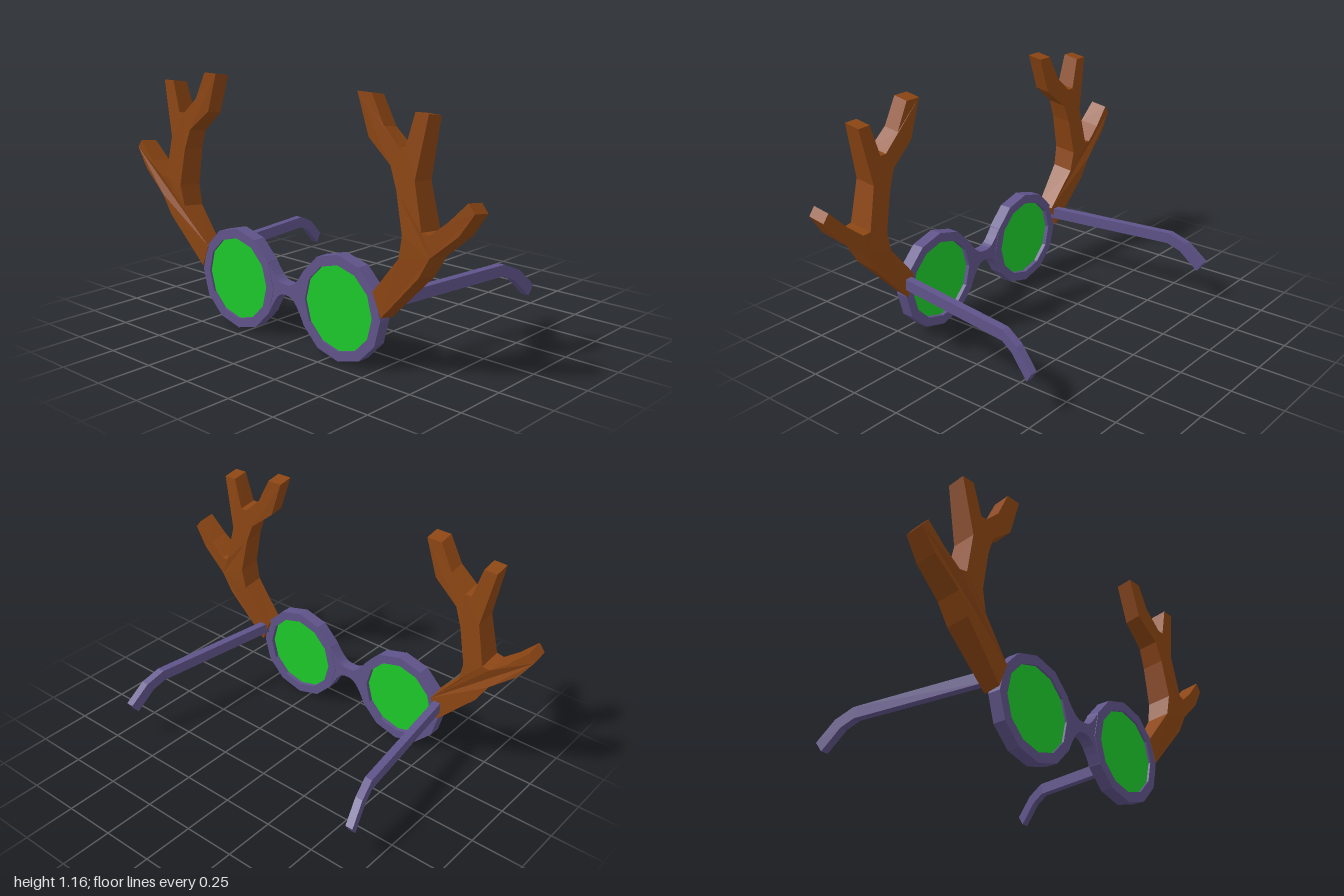
import * as THREE from 'three';

const material = (color) => new THREE.MeshStandardMaterial({ color, flatShading: true });
const purple = material(0x5f5389);
const brown = material(0x8b4513);
const green = material(0x1dc92b);

const RIM_X = 0.31, RIM_Y = 0.235;

const toVectors = (points, mirror = 1) => points.map(([x, y]) => new THREE.Vector2(x * mirror, y));

// Regular twelve-sided outline with a corner at the top
const twelveGon = (radius) => Array.from({ length: 12 }, (_, i) => {
  const a = (i / 12) * Math.PI * 2;
  return new THREE.Vector2(Math.sin(a) * radius, Math.cos(a) * radius);
});

const extrude = (shape, depth) =>
  new THREE.ExtrudeGeometry(shape, { depth, bevelEnabled: false, steps: 1, curveSegments: 6 });

// Moves every vertex by a rule and refreshes the normals
function deform(geometry, rule) {
  const p = geometry.attributes.position;
  const v = new THREE.Vector3();
  for (let i = 0; i < p.count; i++) {
    rule(v.fromBufferAttribute(p, i));
    p.setXYZ(i, v.x, v.y, v.z);
  }
  geometry.computeVertexNormals();
  return geometry;
}

function part(name, geometry, mat, x = 0, y = 0, z = 0) {
  const mesh = new THREE.Mesh(geometry, mat);
  mesh.name = name;
  mesh.position.set(x, y, z);
  return mesh;
}

// Antler outline for the +x side, from the base up and round the three tines
const ANTLER = [
  [0.505, 0.353], [0.65, 0.524], [0.67, 0.62], [0.634, 0.797], [0.6, 0.888],
  [0.479, 0.984], [0.42, 1.16], [0.495, 1.16], [0.559, 1.037], [0.639, 0.963],
  [0.671, 0.963], [0.714, 1.107], [0.778, 1.105], [0.725, 0.845], [0.767, 0.652],
  [0.805, 0.647], [0.885, 0.711], [0.97, 0.797], [1.0, 0.76], [0.933, 0.663],
  [0.805, 0.556], [0.751, 0.465], [0.548, 0.25],
];

// The antler is thickest at the fork and thins toward base and tips
function antlerGeometry(side) {
  return deform(extrude(new THREE.Shape(toVectors(ANTLER, side)), 1), (v) => {
    const d = Math.hypot(1.5 * (Math.abs(v.x) - 0.74), v.y - 0.64);
    const depth = Math.max(0.073, 0.125 - 0.1 * d);
    v.y -= (1 - v.z) * 0.013;
    v.z = 0.403 + (v.z - 0.5) * depth;
  });
}

// Temple side profile as (-z, y)
const TEMPLE = [
  [-0.39, 0.28], [0.28, 0.28], [0.345, 0.25], [0.435, 0.16],
  [0.465, 0.205], [0.375, 0.293], [0.285, 0.333], [-0.39, 0.333],
];

// The arm splays outward, a little more behind the ear
function templeGeometry(side) {
  const geometry = extrude(new THREE.Shape(toVectors(TEMPLE)), 0.037);
  geometry.translate(0, 0, -0.0185).rotateY(Math.PI / 2);
  return deform(geometry, (v) => {
    const back = Math.max(0, -0.28 - v.z);
    v.x += side * (0.54 + (0.38 - v.z) * 0.14 + back * 0.08);
  });
}

function bridgeGeometry() {
  const shape = new THREE.Shape();
  shape.moveTo(-0.107, 0.352);
  shape.bezierCurveTo(-0.055, 0.28, -0.04, 0.273, 0, 0.273);
  shape.bezierCurveTo(0.04, 0.273, 0.055, 0.28, 0.107, 0.352);
  shape.lineTo(0.107, 0.118);
  shape.bezierCurveTo(0.055, 0.215, 0.04, 0.225, 0, 0.225);
  shape.bezierCurveTo(-0.04, 0.225, -0.055, 0.215, -0.107, 0.118);
  shape.closePath();
  return extrude(shape, 0.056);
}

export function createModel() {
  const model = new THREE.Group();
  model.name = 'antlerGlasses';

  const rim = new THREE.Shape(twelveGon(0.235));
  rim.holes.push(new THREE.Path(twelveGon(0.19).reverse()));
  const rimGeometry = extrude(rim, 0.06);
  const lensGeometry = extrude(new THREE.Shape(twelveGon(0.192)), 0.03);

  for (const [label, side] of [['left', 1], ['right', -1]]) {
    model.add(
      part(label + 'Rim', rimGeometry, purple, side * RIM_X, RIM_Y, 0.38),
      part(label + 'Lens', lensGeometry, green, side * RIM_X, RIM_Y, 0.4),
      part(label + 'Temple', templeGeometry(side), purple),
      part(label + 'Antler', antlerGeometry(side), brown),
    );
  }

  // Bridge between the rims
  model.add(part('bridge', bridgeGeometry(), purple, 0, 0, 0.382));
  return model;
}
